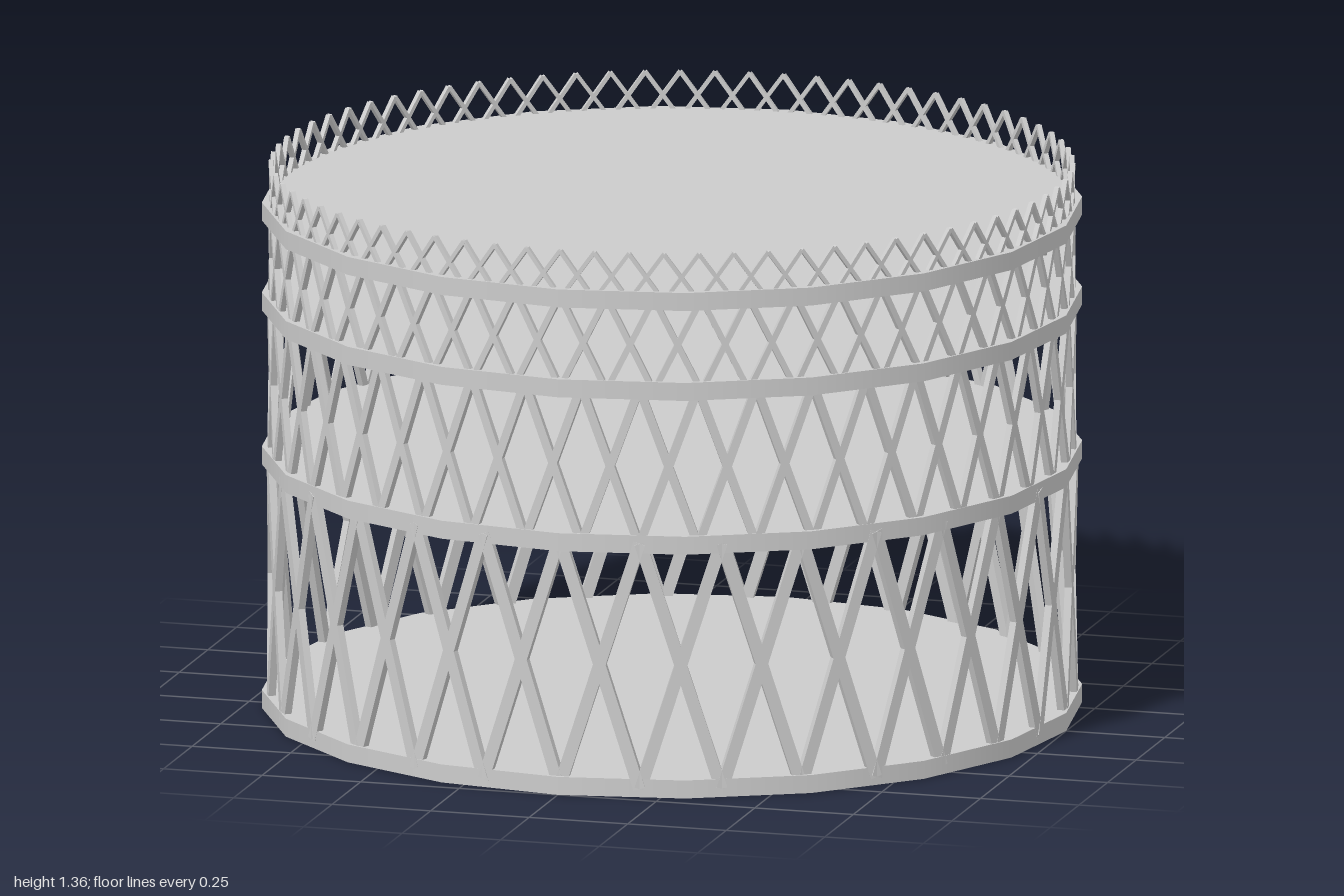
import * as THREE from 'three';
import { mergeGeometries } from 'three/addons/utils/BufferGeometryUtils.js';

const material = new THREE.MeshStandardMaterial({ color: 0xcccccc });
const LATTICE_RADIUS = 0.976;

// One straight flat bar, leaning sideways in the plane that touches the ring
function bar(angle, lean, y0, y1, spacing, width, depth) {
  const run = spacing * LATTICE_RADIUS;
  const rise = y1 - y0;
  return new THREE.BoxGeometry(width, Math.hypot(run, rise), depth)
    .rotateZ(lean * Math.atan2(run, rise))
    .translate(0, (y0 + y1) / 2, LATTICE_RADIUS)
    .rotateY(angle);
}

// A ring of crossed bars; every crossing sits halfway up the tier
function lattice(name, count, y0, y1, width, depth, offset = 0) {
  const spacing = (Math.PI * 2) / count;
  const bars = [];
  for (let i = 0; i < count; i++) {
    const angle = (i + 0.5) * spacing + offset;
    for (const lean of [-1, 1]) bars.push(bar(angle, lean, y0, y1, spacing, width, depth));
  }
  const mesh = new THREE.Mesh(mergeGeometries(bars), material);
  mesh.name = name;
  return mesh;
}

// Twenty-sided floor plate
function floor(name, bottom) {
  const height = 0.045;
  const mesh = new THREE.Mesh(new THREE.CylinderGeometry(1, 1, height, 20), material);
  mesh.position.y = bottom + height / 2;
  mesh.name = name;
  return mesh;
}

export function createModel() {
  const model = new THREE.Group();
  model.name = 'latticeTower';

  // Floors, from the ground up
  model.add(
    floor('baseFloor', 0),
    floor('lowerFloor', 0.61),
    floor('upperFloor', 0.995),
    floor('roof', 1.22),
  );

  // Lattice walls, finer on each higher tier, and the open railing
  model.add(
    lattice('lowerLattice', 31, 0.02, 0.635, 0.03, 0.018),
    lattice('middleLattice', 43, 0.63, 1.02, 0.021, 0.016, Math.PI / 4),
    lattice('upperLattice', 53, 1.015, 1.245, 0.015, 0.014),
    lattice('roofRailing', 72, 1.24, 1.357, 0.01, 0.012),
  );
  return model;
}
